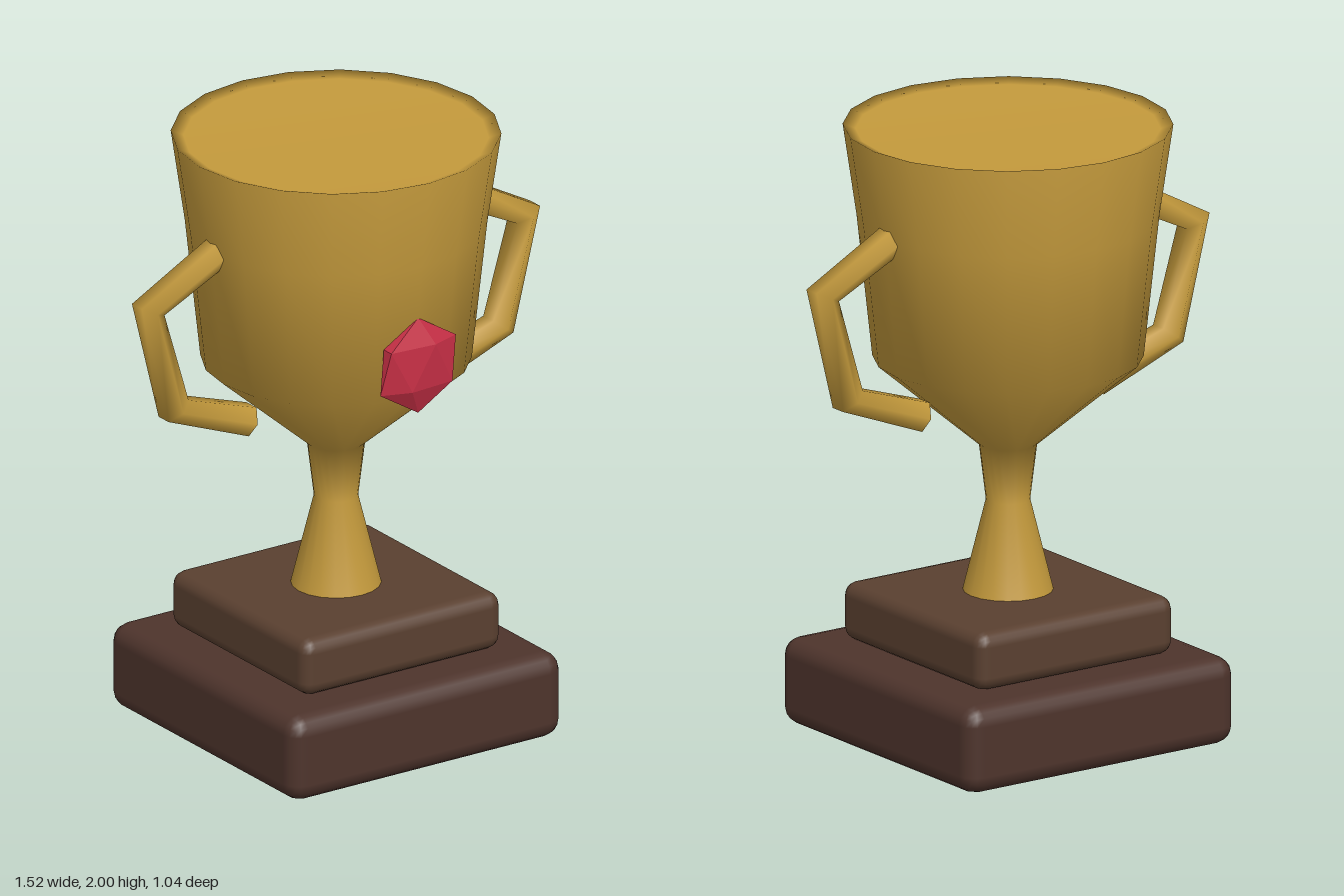
import * as THREE from 'three';
import { mergeVertices } from 'three/addons/utils/BufferGeometryUtils.js';
import { RoundedBoxGeometry } from 'three/addons/geometries/RoundedBoxGeometry.js';

// Hexagonal tube through rings of [x, y, outward angle in degrees]
function handleGeometry(rings, radius) {
  const steps = rings.length - 1;
  const geo = new THREE.CylinderGeometry(radius, radius, 1, 6, steps, true);
  const pos = geo.attributes.position;
  for (let i = 0; i < pos.count; i++) {
    const [cx, cy, deg] = rings[Math.round((0.5 - pos.getY(i)) * steps)];
    const a = THREE.MathUtils.degToRad(deg);
    const out = pos.getX(i);
    pos.setXYZ(i, cx + out * Math.cos(a), cy + out * Math.sin(a), pos.getZ(i));
  }
  geo.deleteAttribute('uv');
  geo.deleteAttribute('normal');
  const merged = mergeVertices(geo);
  merged.computeVertexNormals();
  return merged;
}

export function createModel() {
  const group = new THREE.Group();
  group.name = 'trophy';

  const gold = new THREE.MeshStandardMaterial({ color: 0xc49a3c, side: THREE.DoubleSide });
  const darkWood = new THREE.MeshStandardMaterial({ color: 0x4e342c });
  const wood = new THREE.MeshStandardMaterial({ color: 0x5a4030 });
  const red = new THREE.MeshStandardMaterial({ color: 0xc62f45, flatShading: true });

  const add = (name, geometry, material) => {
    const mesh = new THREE.Mesh(geometry, material);
    mesh.name = name;
    group.add(mesh);
    return mesh;
  };

  // Two-step plinth
  add('lowerBase', new RoundedBoxGeometry(1.04, 0.285, 1.04, 2, 0.06), darkWood).position.y = 0.1425;
  add('upperBase', new RoundedBoxGeometry(0.76, 0.19, 0.76, 2, 0.045), wood).position.y = 0.38;

  // Stem and bowl in one turned profile, closed just below the rim
  const profile = [
    [0.143, 0.475], [0.07, 0.77], [0.092, 0.953], [0.427, 1.24],
    [0.476, 1.7], [0.52, 2], [0.48, 1.985], [0, 1.985],
  ].map(([x, y]) => new THREE.Vector2(x, y));
  add('cup', new THREE.LatheGeometry(profile, 20), gold);

  // Angular handles, one on each side
  const handle = handleGeometry([
    [0.40, 1.725, 80], [0.717, 1.562, 25], [0.62, 1.204, -36], [0.337, 1.102, -72],
  ], 0.055);
  add('leftHandle', handle, gold);
  add('rightHandle', handle, gold).rotation.y = Math.PI;

  // Flattened gem set point-up on the front of the bowl
  const gem = new THREE.IcosahedronGeometry(0.161, 0);
  gem.rotateZ(-Math.atan(2 / (1 + Math.sqrt(5))));
  gem.scale(1, 1, 0.25);
  add('gem', gem, red).position.set(0, 1.36, 0.455);

  return group;
}
